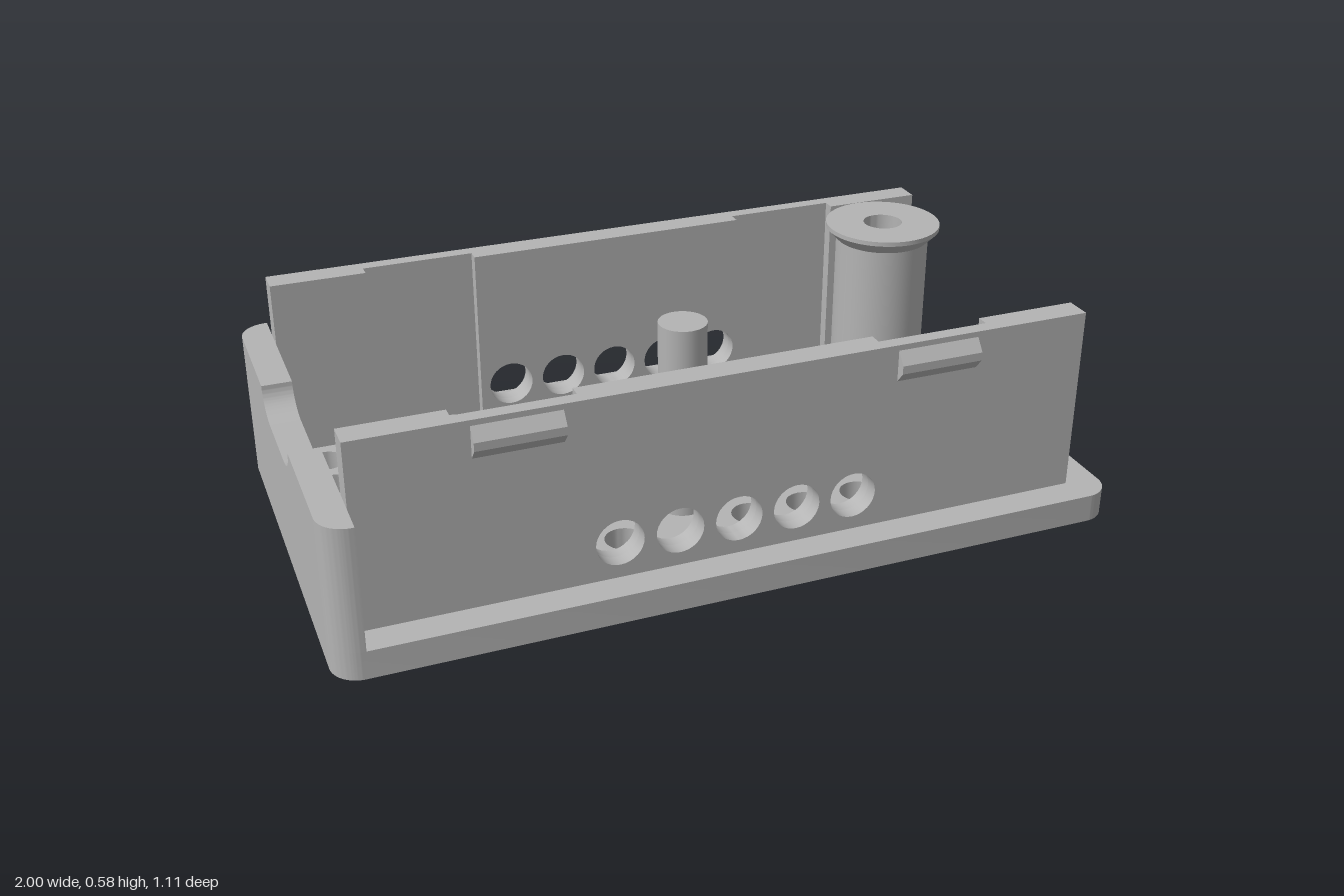
import * as THREE from 'three';
import { toCreasedNormals } from 'three/addons/utils/BufferGeometryUtils.js';

const BASE_TOP = 0.073;
const WALL_TOP = 0.553;

export function createModel() {
  const model = new THREE.Group();
  model.name = 'openEnclosure';
  const grey = new THREE.MeshStandardMaterial({ color: 0xb4b4b4 });
  grey.name = 'grey plastic';

  const add = (name, geometry) => {
    const mesh = new THREE.Mesh(geometry, grey);
    mesh.name = name;
    model.add(mesh);
    return mesh;
  };
  const extrude = (shape, depth) =>
    toCreasedNormals(new THREE.ExtrudeGeometry(shape, { depth, bevelEnabled: false, curveSegments: 16 }), 0.6);
  // Shape drawn in (x, z), raised from bottom to top
  const plan = (shape, bottom, top) =>
    extrude(shape, top - bottom).rotateX(Math.PI / 2).translate(0, top, 0);
  // Shape drawn in (z, y), extruded from x0 to x1
  const side = (shape, x0, x1) =>
    extrude(shape, x1 - x0).rotateY(-Math.PI / 2).translate(x1, 0, 0);
  const circle = (x, y, r) => new THREE.Path().absarc(x, y, r, 0, Math.PI * 2, false);
  const rect = (x0, y0, x1, y1) => new THREE.Shape([
    new THREE.Vector2(x0, y0), new THREE.Vector2(x1, y0),
    new THREE.Vector2(x1, y1), new THREE.Vector2(x0, y1),
  ]);

  // Base plate with rounded corners
  const X = 1, Z = 0.555, R = 0.07;
  const base = new THREE.Shape();
  base.absarc(X - R, Z - R, R, 0, Math.PI / 2);
  base.absarc(-X + R, Z - R, R, Math.PI / 2, Math.PI);
  base.absarc(-X + R, -Z + R, R, Math.PI, Math.PI * 1.5);
  base.absarc(X - R, -Z + R, R, Math.PI * 1.5, Math.PI * 2);
  base.closePath();

  // Vent holes in the base
  const rows = [-0.33, -0.2, -0.07, 0.06, 0.19, 0.32];
  for (const z of rows) {
    for (let i = 0; i < 3; i++) base.holes.push(circle(0.095 + i * 0.15, z, 0.049));
    if (z > 0 && z < 0.3) continue;
    for (let i = 0; i < 5; i++) base.holes.push(circle(-0.84 + i * 0.15, z, 0.049));
  }

  // U-shaped slot that frees the button arm
  const ax = -0.6, az = 0.1415, end = -0.165;
  const outer = Math.asin(0.0805 / 0.084), inner = Math.asin(0.0535 / 0.063);
  const slot = new THREE.Path();
  slot.moveTo(end, az - 0.0805);
  slot.absarc(ax, az, 0.084, -outer, outer, true);
  slot.lineTo(end, az + 0.0805);
  slot.lineTo(end, az + 0.0535);
  slot.absarc(ax, az, 0.063, inner, Math.PI * 2 - inner, false);
  slot.lineTo(end, az - 0.0535);
  slot.closePath();
  base.holes.push(slot);
  add('basePlate', plan(base, 0, BASE_TOP));

  // Long walls: a full outer skin and inner pads that leave two recesses
  const ventWall = (x0, x1) => {
    const shape = rect(x0, BASE_TOP, x1, WALL_TOP);
    for (let i = 0; i < 5; i++) shape.holes.push(circle(-0.305 + i * 0.15, 0.167, 0.06));
    return shape;
  };
  const layers = [
    ['wallSkin', ventWall(-0.925, 0.91), 0.44, 0.476],
    ['wallVentPad', ventWall(-0.39, 0.36), 0.409, 0.44],
    ['wallEndPad', rect(-0.925, BASE_TOP, -0.68, WALL_TOP), 0.409, 0.44],
    ['wallEndPad', rect(0.65, BASE_TOP, 0.91, WALL_TOP), 0.409, 0.44],
  ];
  for (const s of [1, -1]) {
    const label = s > 0 ? 'front' : 'back';
    for (const [name, shape, z0, z1] of layers) {
      add(`${label} ${name}`, extrude(shape, z1 - z0).translate(0, 0, s > 0 ? z0 : -z1));
    }
    // Snap ridges on the outside of the wall
    const ridge = new THREE.Shape([[0.475, 0.54], [0.5, 0.508], [0.5, 0.487], [0.475, 0.457]]
      .map(([z, y]) => new THREE.Vector2(s * z, y)));
    for (const x of [-0.645, 0.397]) add(`${label} snapRidge`, side(ridge, x, x + 0.213));

    // Rounded corner of the end wall
    const corner = new THREE.Shape();
    corner.moveTo(-0.925, s * (Z - R));
    corner.lineTo(-0.925, s * Z);
    corner.lineTo(-X + R, s * Z);
    corner.absarc(-X + R, s * (Z - R), R, s * Math.PI / 2, s * Math.PI, s < 0);
    corner.closePath();
    add(`${label} endWallCorner`, plan(corner, BASE_TOP, 0.39));
  }

  // End wall with a scooped cable notch
  const wall = new THREE.Shape();
  wall.moveTo(-Z + R, BASE_TOP);
  wall.lineTo(Z - R, BASE_TOP);
  wall.lineTo(Z - R, 0.39);
  wall.lineTo(0.178, 0.39);
  wall.absellipse(0.088, 0.39, 0.09, 0.066, 0, -Math.PI / 2, true);
  wall.absellipse(-0.094, 0.39, 0.09, 0.066, -Math.PI / 2, -Math.PI, true);
  wall.lineTo(-Z + R, 0.39);
  wall.closePath();
  add('endWall', side(wall, -X, -0.925));

  // Button pin and support pin
  const pin = (name, x, z, r, top) => {
    const h = top - BASE_TOP;
    add(name, new THREE.CylinderGeometry(r, r, h, 40)).position.set(x, BASE_TOP + h / 2, z);
  };
  pin('buttonPin', ax, az, 0.058, 0.365);
  pin('supportPin', -0.048, 0.215, 0.06, 0.577);

  // Flanged post with a bore
  const profile = [[0.125, BASE_TOP], [0.125, 0.535], [0.154, 0.565], [0.154, 0.577],
    [0.052, 0.577], [0.052, BASE_TOP + 0.002], [0, BASE_TOP + 0.002]]
    .map(([r, y]) => new THREE.Vector2(r, y));
  add('flangedPost', toCreasedNormals(new THREE.LatheGeometry(profile, 48), 0.5))
    .position.set(0.702, 0, -0.197);

  return model;
}
